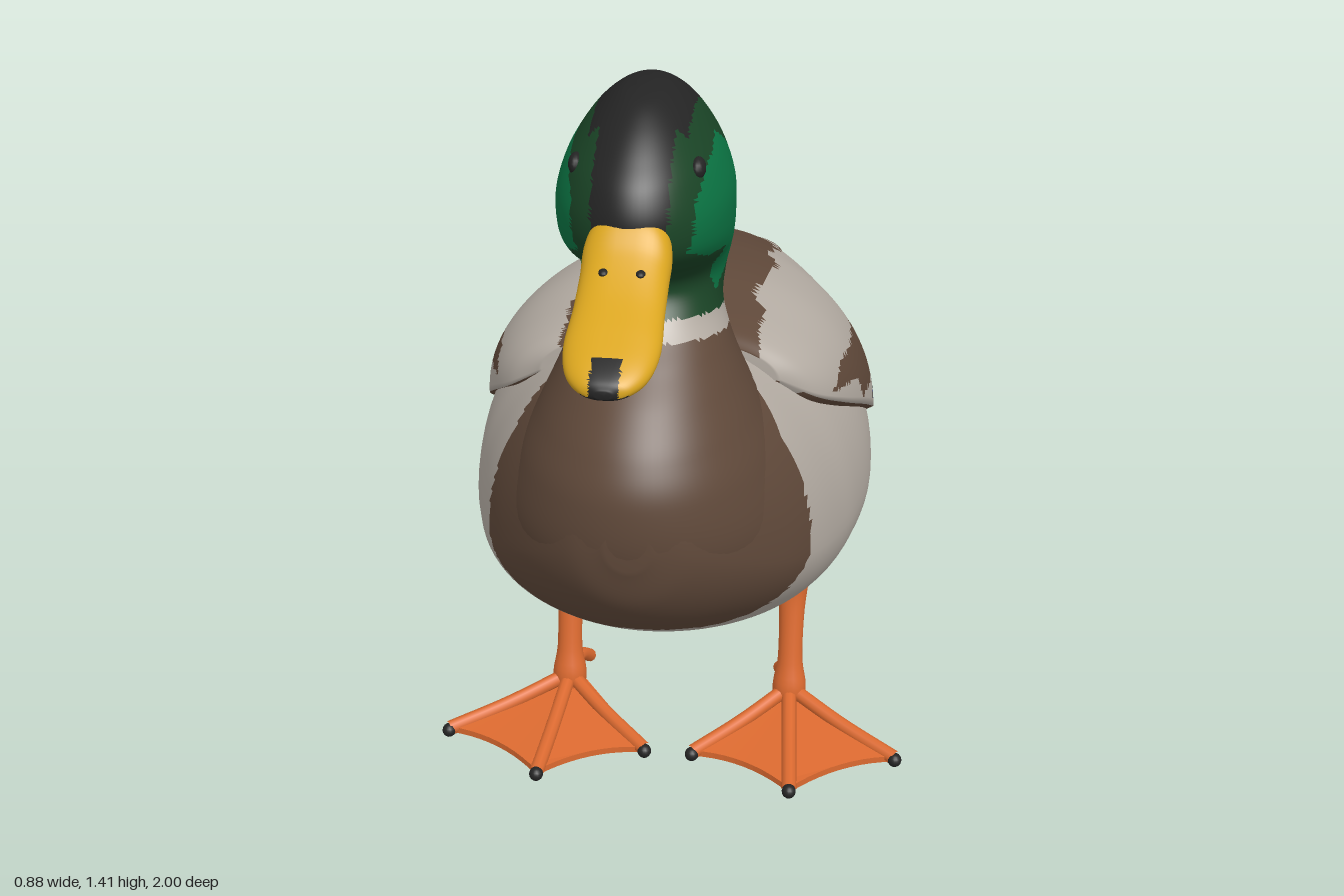
import * as THREE from 'three';

const colours = {
  grey: 0xb4aca3, brown: 0x60493a, black: 0x242424, blue: 0x263a8c,
  green: 0x0b7443, darkGreen: 0x1a4426, yellow: 0xdba61f, orange: 0xdc6a30,
};
const names = Object.keys(colours);
const mats = names.map((name) => {
  const m = new THREE.MeshStandardMaterial({ color: colours[name] });
  m.name = name;
  return m;
});
const mat = (name) => mats[names.indexOf(name)];

// Smooth loft through the rows; ring(row, angle) gives a point and paint(centre, normal) a colour name
function loft(name, rows, along, around, ring, paint) {
  const size = rows[0].length;
  const curve = new THREE.CubicInterpolant(rows.map((_, i) => i), rows.flat(), size, new Float32Array(size));
  const pos = [], tris = [];
  for (let i = 0; i <= along; i++) {
    const row = Array.from(curve.evaluate(Math.min((i / along) * (rows.length - 1), rows.length - 1.0001)));
    for (let j = 0; j < around; j++) pos.push(...ring(row, (j / around) * Math.PI * 2));
  }
  for (let i = 0; i < along; i++) {
    for (let j = 0; j < around; j++) {
      const k = (j + 1) % around, a = i * around, b = a + around;
      tris.push([a + j, a + k, b + j], [a + k, b + k, b + j]);
    }
  }
  for (const end of [0, along]) {
    const c = pos.length / 3, o = end * around, mid = [0, 0, 0];
    for (let j = 0; j < around; j++) for (let d = 0; d < 3; d++) mid[d] += pos[(o + j) * 3 + d] / around;
    pos.push(...mid);
    for (let j = 0; j < around; j++) {
      const k = (j + 1) % around;
      tris.push(end ? [c, o + j, o + k] : [c, o + k, o + j]);
    }
  }
  const geo = new THREE.BufferGeometry();
  geo.setAttribute('position', new THREE.Float32BufferAttribute(pos, 3));
  const buckets = names.map(() => []);
  const t = new THREE.Triangle(), p = new THREE.Vector3(), n = new THREE.Vector3();
  for (const f of tris) {
    [t.a, t.b, t.c].forEach((v, i) => v.fromArray(pos, f[i] * 3));
    t.getMidpoint(p);
    t.getNormal(n);
    buckets[names.indexOf(paint(p, n))].push(...f);
  }
  geo.setIndex(buckets.flat());
  geo.computeVertexNormals();
  let start = 0;
  buckets.forEach((b, i) => {
    if (b.length) geo.addGroup(start, b.length, i);
    start += b.length;
  });
  const mesh = new THREE.Mesh(geo, mats);
  mesh.name = name;
  return mesh;
}

function inside(poly, u, v) {
  let hit = false;
  for (let i = 0, j = poly.length - 1; i < poly.length; j = i++) {
    const [a, b] = poly[i], [c, d] = poly[j];
    if (b > v !== d > v && u < ((c - a) * (v - b)) / (d - b) + a) hit = !hit;
  }
  return hit;
}

// Colour patches as side outlines (z, y)
const breast = [[0.6, 0.5], [0.535, 0.62], [0.525, 0.81], [0.46, 0.89], [0.34, 0.95], [0.3, 1.1], [0.9, 1.1], [0.9, 0.5]];
const wingBar = [[0.32, 0.8], [0.25, 0.825], [0, 0.79], [-0.16, 0.72], [-0.32, 0.67], [-0.5, 0.635], [-0.48, 0.57], [-0.26, 0.575], [-0.22, 0.66], [-0.02, 0.69], [0.17, 0.72], [0.19, 0.77]];
const blueFrame = [[-0.03, 0.705], [-0.26, 0.675], [-0.26, 0.6], [-0.15, 0.535], [-0.08, 0.56], [0.045, 0.66]];
const bluePatch = [[0.03, 0.655], [-0.08, 0.69], [-0.22, 0.635], [-0.14, 0.555]];
const rump = [[-0.47, 0.62], [-0.49, 0.48], [-0.56, 0.37], [-0.66, 0.3], [-1, 0.3], [-1, 0.62]];
const cheek = [[0.7, 1.2], [0.69, 1.27], [0.63, 1.31], [0.52, 1.335], [0.45, 1.28], [0.47, 1.19], [0.44, 1.1], [0.5, 1.06], [0.56, 1.16], [0.63, 1.17]];

function plumage({ x, y, z }) {
  const ax = Math.abs(x);
  if (inside(breast, z, y) && y > 0.53 - 0.3 * Math.min(ax, 0.1)) return 'brown';
  return inside(rump, z, y) ? 'black' : 'grey';
}

function wingPaint({ x, y, z }, n) {
  const ax = Math.abs(x);
  const edge = 0.13 + 0.06 * Math.min(0.5, z + 0.5) + 0.009 * Math.sin(z * 23) + 0.006 * Math.sin(z * 51);
  if (n.y > 0.25 && ax < edge) {
    if (ax > 0.045 && ax < 0.11 && z < -0.59 && z > -0.6 - ax * 0.65) return 'blue';
    if (z < -0.5 && z > -0.86 && ax > 0.04 && ax < 0.06 + 0.006 * Math.sin(z * 60)) return 'grey';
    if (z < -0.76 && z > -0.81 && ax > 0.06) return 'grey';
    return 'brown';
  }
  if (inside(bluePatch, z, y)) return 'blue';
  if (inside(blueFrame, z, y)) return 'black';
  return inside(wingBar, z, y) || z < -0.72 || n.y < -0.5 ? 'brown' : 'grey';
}

function headPaint(p) {
  const { y, z } = p, ax = Math.abs(p.x), ringY = y - 0.985 - (z - 0.33) * 0.15;
  if (ringY < -0.017) return plumage(p);
  if (ringY < 0.017) return 'grey';
  if (((z - 0.368) / 0.026) ** 2 + ((y - 1.26) / 0.058) ** 2 < 1) return ax > 0.04 ? 'blue' : 'black';
  if (ax > 0.05 && inside(cheek, z, y)) return 'green';
  if (z < 0.405 + 0.1 * Math.max(0, y - 1.2)) return 'black';
  if (y > 1.23 && ax < (z > 0.62 ? 0.058 : 0.075)) return 'black';
  return 'darkGreen';
}

function ball(name, colour, at, scale) {
  const m = new THREE.Mesh(new THREE.SphereGeometry(1, 16, 10), mat(colour));
  m.name = name;
  m.position.set(...at);
  m.scale.set(...scale);
  return m;
}

// Tapered blade between two points
function feather(name, colour, from, to, width) {
  const a = new THREE.Vector3(...from), b = new THREE.Vector3(...to);
  const m = ball(name, colour, a.clone().lerp(b, 0.5).toArray(), [width, 0.009, a.distanceTo(b) / 2]);
  m.lookAt(b);
  return m;
}

function tube(name, colour, pts, r) {
  const path = new THREE.CatmullRomCurve3(pts.map((p) => new THREE.Vector3(...p)));
  const m = new THREE.Mesh(new THREE.TubeGeometry(path, 24, r, 10), mat(colour));
  m.name = name;
  return m;
}

function leg(s) {
  const g = new THREE.Group();
  g.name = s > 0 ? 'leftLeg' : 'rightLeg';
  // Shank: height, z, radius
  g.add(loft('shank', [[0.03, 0.115, 0.03], [0.07, 0.115, 0.032], [0.12, 0.108, 0.024], [0.2, 0.09, 0.024], [0.26, 0.075, 0.029], [0.31, 0.07, 0.036], [0.37, 0.07, 0.042]],
    24, 18, ([y, z, r], a) => [s * 0.215 + r * Math.sin(a), y, z + r * Math.cos(a)], () => 'orange'));
  g.add(ball('thigh', 'grey', [s * 0.21, 0.36, 0.05], [0.075, 0.06, 0.1]));
  // Web between the three front toes
  const tips = [[0.045, 0.29], [0.235, 0.385], [0.425, 0.265]];
  const shape = new THREE.Shape();
  shape.moveTo(s * 0.2, 0.09);
  shape.lineTo(s * tips[0][0], tips[0][1]);
  shape.quadraticCurveTo(s * 0.15, 0.29, s * tips[1][0], tips[1][1]);
  shape.quadraticCurveTo(s * 0.32, 0.28, s * tips[2][0], tips[2][1]);
  shape.lineTo(s * 0.23, 0.09);
  const geo = new THREE.ExtrudeGeometry(shape, { depth: 0.012, bevelEnabled: false, curveSegments: 10 });
  geo.rotateX(Math.PI / 2);
  const p = geo.attributes.position;
  for (let i = 0; i < p.count; i++) {
    const d = Math.hypot(p.getX(i) - s * 0.215, p.getZ(i) - 0.12);
    p.setY(i, p.getY(i) + 0.02 + 0.035 * Math.max(0, 1 - d / 0.2));
  }
  geo.computeVertexNormals();
  const web = new THREE.Mesh(geo, mat('orange'));
  web.name = 'web';
  g.add(web);
  for (const [x, z] of tips) {
    g.add(tube('toe', 'orange', [[s * 0.215, 0.06, 0.115], [s * (0.215 + (x - 0.215) * 0.5), 0.034, 0.12 + (z - 0.12) * 0.5], [s * x, 0.016, z]], 0.014));
    g.add(ball('claw', 'black', [s * x, 0.015, z + 0.004], [0.013, 0.013, 0.014]));
  }
  g.add(tube('hindToe', 'orange', [[s * 0.21, 0.085, 0.11], [s * 0.2, 0.07, 0.06], [s * 0.19, 0.045, 0.025]], 0.013));
  return g;
}

export function createModel() {
  const duck = new THREE.Group();
  duck.name = 'duck';

  // Body: z, bottom, widest height, top, half width
  duck.add(loft('body', [
    [0.79, 0.7, 0.74, 0.78, 0.035], [0.765, 0.62, 0.72, 0.85, 0.1], [0.7, 0.545, 0.68, 0.92, 0.17], [0.6, 0.475, 0.63, 0.94, 0.24],
    [0.5, 0.415, 0.6, 0.94, 0.285], [0.4, 0.365, 0.58, 0.93, 0.315], [0.3, 0.33, 0.57, 0.925, 0.338], [0.15, 0.295, 0.555, 0.925, 0.355],
    [0, 0.275, 0.55, 0.9, 0.345], [-0.15, 0.272, 0.54, 0.86, 0.3], [-0.3, 0.28, 0.53, 0.81, 0.247], [-0.45, 0.292, 0.51, 0.74, 0.2],
    [-0.6, 0.31, 0.47, 0.64, 0.155], [-0.72, 0.325, 0.46, 0.59, 0.13], [-0.81, 0.36, 0.46, 0.55, 0.1], [-0.86, 0.41, 0.46, 0.5, 0.05],
  ], 120, 90, ([z, bottom, mid, top, w], a) => {
    const c = Math.cos(a);
    return [w * Math.sin(a), mid + c * (c > 0 ? top - mid : mid - bottom), z];
  }, plumage));

  // Folded wings and back: z, lower edge, top, half width
  duck.add(loft('foldedWings', [
    [0.4, 0.85, 0.925, 0.2], [0.36, 0.8, 0.94, 0.265], [0.28, 0.75, 0.95, 0.31], [0.15, 0.68, 0.957, 0.343], [0, 0.6, 0.937, 0.354],
    [-0.12, 0.55, 0.908, 0.329], [-0.22, 0.555, 0.875, 0.295], [-0.35, 0.565, 0.828, 0.247], [-0.5, 0.575, 0.765, 0.2],
    [-0.7, 0.575, 0.68, 0.148], [-0.84, 0.57, 0.618, 0.12], [-0.91, 0.57, 0.59, 0.075],
  ], 120, 140, ([z, low, top, w], a) => {
    const outer = a < Math.PI, t = outer ? a - Math.PI / 2 : Math.PI * 1.5 - a, k = outer ? 1 : 0.9;
    const sx = Math.sign(Math.sin(t)) * Math.abs(Math.sin(t)) ** 0.92;
    return [w * k * sx, low + (top - low) * k * Math.max(0, Math.cos(t)) ** 0.92, z];
  }, wingPaint));

  // Breast, neck and head: height, back, front, half width
  duck.add(loft('neckAndHead', [
    [0.5, 0.25, 0.6, 0.2], [0.6, 0.22, 0.725, 0.235], [0.7, 0.23, 0.785, 0.235], [0.8, 0.26, 0.79, 0.208], [0.87, 0.285, 0.763, 0.178],
    [0.93, 0.31, 0.715, 0.15], [0.98, 0.328, 0.66, 0.129], [1.03, 0.33, 0.605, 0.114], [1.08, 0.32, 0.575, 0.117], [1.12, 0.312, 0.605, 0.126],
    [1.16, 0.307, 0.69, 0.134], [1.2, 0.303, 0.742, 0.138], [1.25, 0.306, 0.752, 0.137], [1.3, 0.322, 0.735, 0.122],
    [1.34, 0.348, 0.7, 0.1], [1.375, 0.388, 0.655, 0.073], [1.4, 0.44, 0.605, 0.042], [1.41, 0.5, 0.55, 0.012],
  ], 150, 90, ([y, back, front, w], a) =>
    [w * Math.sin(a), y, (back + front) / 2 + ((front - back) / 2) * Math.cos(a)], headPaint));

  // Bill: z, bottom, top, half width
  duck.add(loft('bill', [
    [1, 1.1, 1.112, 0.012], [0.99, 1.095, 1.125, 0.038], [0.96, 1.095, 1.142, 0.06], [0.91, 1.107, 1.163, 0.07],
    [0.84, 1.128, 1.192, 0.067], [0.78, 1.145, 1.228, 0.066], [0.74, 1.155, 1.265, 0.066], [0.69, 1.165, 1.285, 0.055],
  ], 50, 48, ([z, bottom, top, w], a) =>
    [w * Math.sign(Math.sin(a)) * Math.abs(Math.sin(a)) ** 0.75, (top + bottom) / 2 + ((top - bottom) / 2) * Math.cos(a), z],
  ({ x, z }, n) => {
    const nail = z > 0.955 && Math.abs(x) < 0.021;
    const gape = n.y < -0.5 && Math.abs(x) < 0.035 && z > 0.8;
    return nail || gape ? 'black' : 'yellow';
  }));

  for (const s of [1, -1]) {
    duck.add(ball('nostril', 'black', [s * 0.027, 1.207, 0.802], [0.008, 0.006, 0.011]));
    duck.add(ball('eye', 'black', [s * 0.092, 1.312, 0.635], [0.012, 0.017, 0.022]));
    // Tail fan
    duck.add(feather('tailFeather', 'grey', [s * 0.09, 0.44, -0.6], [s * 0.165, 0.41, -0.94], 0.035));
    duck.add(feather('tailFeather', 'grey', [s * 0.07, 0.45, -0.6], [s * 0.085, 0.42, -1], 0.04));
    duck.add(feather('tailFeather', 'grey', [s * 0.09, 0.4, -0.58], [s * 0.135, 0.365, -0.91], 0.035));
    duck.add(feather('tailFeather', 'grey', [s * 0.03, 0.38, -0.6], [s * 0.05, 0.36, -0.93], 0.04));
    // Curled tail feather
    duck.add(tube('tailCurl', 'black', [[s * 0.02, 0.46, -0.82], [s * 0.022, 0.455, -0.9], [s * 0.024, 0.475, -0.95],
      [s * 0.024, 0.52, -0.962], [s * 0.024, 0.546, -0.925], [s * 0.024, 0.538, -0.87]], 0.011));
    duck.add(leg(s));
  }
  return duck;
}
